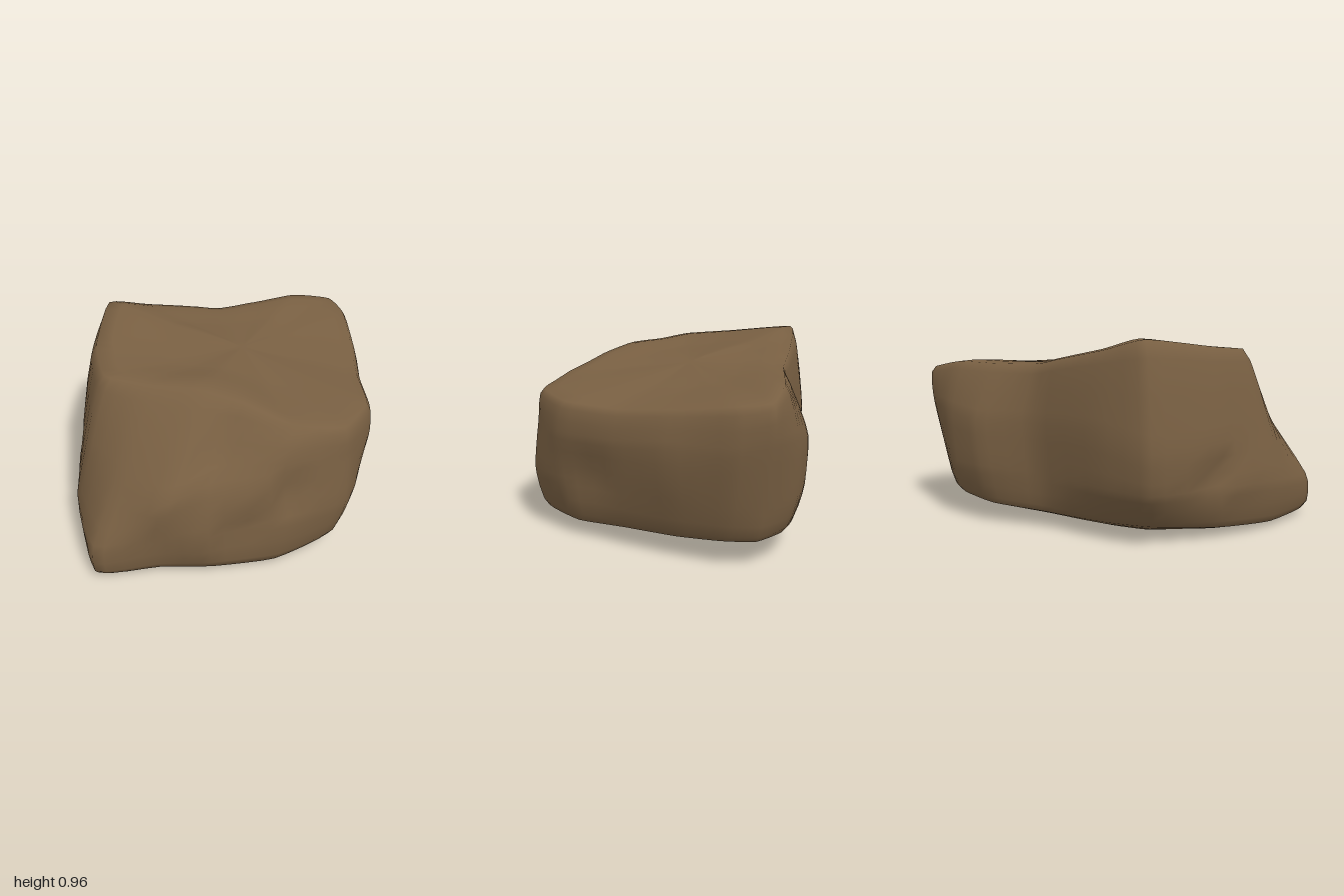
import * as THREE from 'three';
import { mergeVertices } from 'three/addons/utils/BufferGeometryUtils.js';

// Horizontal outlines as [x, y, z], from the front tip round past +x, the back and -x
const FOOT = [
  [0, .035, .99], [.2, .035, .77], [.4, .04, .6], [.6, .04, .36], [.72, .08, .08], [.62, .08, -.2],
  [.44, .1, -.43], [.26, .11, -.64], [.1, .125, -.8], [-.04, .13, -.87], [-.2, .13, -.8], [-.33, .11, -.62],
  [-.4, .09, -.35], [-.52, .08, -.05], [-.62, .09, .2], [-.5, .06, .52], [-.3, .035, .78],
];
const LOWER = [
  [0, .2, 1], [.21, .25, .8], [.41, .3, .64], [.65, .3, .33], [.785, .3, .05], [.7, .3, -.22],
  [.49, .3, -.47], [.3, .3, -.69], [.1, .3, -.88], [-.05, .3, -.93], [-.25, .3, -.84], [-.38, .3, -.66],
  [-.43, .28, -.36], [-.66, .27, -.04], [-.76, .26, .2], [-.58, .26, .52], [-.32, .24, .82],
];
const UPPER = [
  [-.02, .5, .8], [.24, .46, .77], [.38, .55, .58], [.6, .57, .32], [.76, .55, .04], [.72, .52, -.24],
  [.51, .52, -.49], [.33, .55, -.71], [.11, .55, -.93], [-.06, .6, -.99], [-.24, .58, -.86], [-.38, .55, -.68],
  [-.44, .55, -.38], [-.68, .55, -.05], [-.79, .48, .2], [-.57, .5, .52], [-.28, .53, .76],
];
const RIM = [
  [-.06, .87, .55], [.16, .87, .42], [.35, .83, .32], [.56, .75, .22], [.73, .71, .03], [.68, .69, -.25],
  [.48, .68, -.47], [.3, .71, -.69], [.1, .75, -.91], [-.05, .77, -.98], [-.19, .81, -.81], [-.3, .81, -.59],
  [-.43, .83, -.34], [-.62, .9, -.03], [-.71, .955, .17], [-.48, .91, .47], [-.25, .885, .63],
];

// Local hollows (positive) and bumps (negative): x, y, z, radius, depth
const DENTS = [
  [.36, .64, .48, .1, .06], [.52, .45, .43, .09, -.035], [.64, .42, .32, .09, .04], [.5, .27, .52, .1, .035],
  [.56, .67, .26, .09, -.025], [.36, .2, .66, .07, -.02], [-.6, .32, .5, .07, .05], [-.5, .3, .62, .08, -.02],
  [.62, .35, -.32, .16, .04], [.3, .45, -.68, .15, -.02], [-.4, .75, -.4, .12, .02],
  [.08, .78, -.5, .18, .025], [-.15, .84, 0, .2, -.015], [-.1, .05, -.3, .18, .03], [.15, .03, .2, .15, .02],
];

const AROUND = 68;
const UP = 24;
const vec = (p) => new THREE.Vector3(...p);

// Shrinks an outline towards a centre to close the top or the underside
const inset = (ring, centre, t) => ring.map((p) => vec(p).lerp(vec(centre), t).toArray());

function dent(p) {
  const middle = new THREE.Vector3(0, .42, 0);
  const inward = middle.sub(p).normalize();
  const moved = p.clone();
  for (const [x, y, z, radius, depth] of DENTS) {
    const d = p.distanceTo(new THREE.Vector3(x, y, z)) / radius;
    moved.addScaledVector(inward, depth * Math.exp(-d * d));
  }
  moved.y = Math.max(moved.y, 0);
  return moved;
}

function rockGeometry() {
  const under = [-.1, 0, .12];
  const crown = [0, .82, -.1];
  // The underside rises towards the back
  const sole = inset(FOOT, under, .4).map(([x, y, z]) => [x, Math.max(.012, -.17 * z), z]);
  const rings = [sole, FOOT, LOWER, UPPER, RIM, inset(RIM, crown, .45)]
    .map((ring) => new THREE.CatmullRomCurve3(ring.map(vec), true, 'catmullrom', .25));

  // Upright ribs run from the underside over the rim to the crown
  const positions = [];
  const index = [];
  for (let i = 0; i < AROUND; i++) {
    const t = i / AROUND;
    const rib = new THREE.CatmullRomCurve3(
      [vec(under), ...rings.map((r) => r.getPoint(t)), vec(crown)], false, 'catmullrom', .25);
    for (let j = 0; j <= UP + 1; j++) {
      positions.push(...dent(rib.getPoint(j / (UP + 1))).toArray());
    }
  }
  const id = (i, j) => (i % AROUND) * (UP + 2) + j;
  for (let i = 0; i < AROUND; i++) {
    for (let j = 0; j <= UP; j++) {
      if (j > 0) index.push(id(i, j), id(i + 1, j), id(i + 1, j + 1));
      if (j < UP) index.push(id(i, j), id(i + 1, j + 1), id(i, j + 1));
      else index.push(id(i, j), id(i + 1, j), id(i, j + 1));
    }
  }
  const geometry = new THREE.BufferGeometry();
  geometry.setAttribute('position', new THREE.Float32BufferAttribute(positions, 3));
  geometry.setIndex(index);
  const merged = mergeVertices(geometry, 1e-4);
  merged.computeVertexNormals();
  return merged;
}

export function createModel() {
  const stone = new THREE.MeshStandardMaterial({ color: 0x785f42 });
  stone.name = 'brown stone';
  const rock = new THREE.Mesh(rockGeometry(), stone);
  rock.name = 'rock';
  const group = new THREE.Group();
  group.name = 'boulder';
  group.add(rock);
  return group;
}
